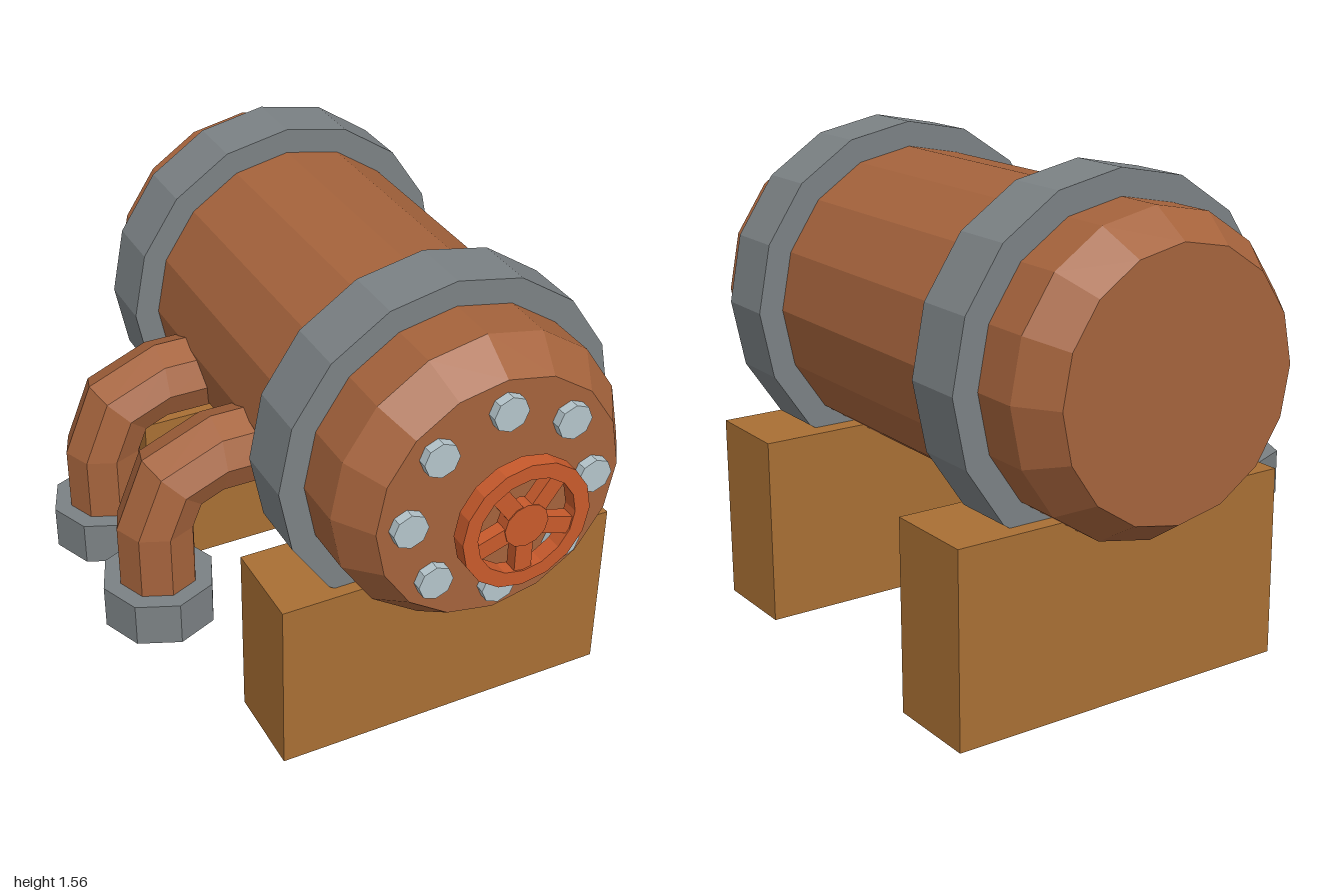
import * as THREE from 'three';

const CX = 0.19, CY = 1.005; // axis of the tank

function material(name, color) {
  const m = new THREE.MeshStandardMaterial({ color, flatShading: true });
  m.name = name;
  return m;
}

// Solid of revolution about the z axis from [radius, z] points
function turned(points, sides) {
  const g = new THREE.LatheGeometry(points.map(([r, z]) => new THREE.Vector2(r, z)), sides);
  return g.rotateX(Math.PI / 2);
}

// Closed profile of a ring
const ringProfile = (inner, outer, z0, z1) =>
  [[inner, z0], [outer, z0], [outer, z1], [inner, z1], [inner, z0]];

// Octagonal elbow swept through stations [x, y, normalAngle], capped at its start
function elbowGeometry(radius, stations, sides = 8) {
  const pos = [], index = [];
  for (const [x, y, a] of stations) {
    for (let j = 0; j < sides; j++) {
      const t = j / sides * Math.PI * 2, c = radius * Math.cos(t);
      pos.push(x + c * Math.cos(a), y + c * Math.sin(a), radius * Math.sin(t));
    }
  }
  for (let i = 0; i < stations.length - 1; i++) {
    for (let j = 0; j < sides; j++) {
      const k = (j + 1) % sides;
      const a = i * sides + j, b = i * sides + k;
      index.push(a, b, a + sides, b, b + sides, a + sides);
    }
  }
  for (let j = 1; j < sides - 1; j++) index.push(0, j + 1, j);
  const g = new THREE.BufferGeometry();
  g.setAttribute('position', new THREE.Float32BufferAttribute(pos, 3));
  g.setIndex(index);
  g.computeVertexNormals();
  return g;
}

export function createModel() {
  const model = new THREE.Group();
  model.name = 'pressureTank';
  const copper = material('copper', 0xa5633c);
  const steel = material('steel', 0x7b8184);
  const wood = material('wood', 0xa86f34);
  const boltMetal = material('boltMetal', 0xb4c4ca);
  const valveRed = material('valveOrange', 0xc85a2c);

  const add = (name, geometry, mat, x, y, z, parent = model) => {
    const mesh = new THREE.Mesh(geometry, mat);
    mesh.name = name;
    mesh.position.set(x, y, z);
    parent.add(mesh);
    return mesh;
  };

  // Tank with bevelled ends
  add('tank', turned([[0, -1], [0.395, -1], [0.475, -0.88], [0.475, 0.735], [0.395, 0.855], [0, 0.855]], 16),
    copper, CX, CY, 0);

  // Straps and support blocks
  const strap = turned(ringProfile(0.465, 0.555, -0.1, 0.1), 16);
  const block = new THREE.BoxGeometry(1.14, 0.6, 0.3);
  for (const [name, strapZ, blockZ] of [['front', 0.47, 0.46], ['rear', -0.63, -0.63]]) {
    add(name + 'Strap', strap, steel, CX, CY, strapZ);
    add(name + 'Support', block, wood, 0.195, 0.3, blockZ);
  }

  // Bolts around the front cap
  const bolt = new THREE.CylinderGeometry(0.056, 0.056, 0.04, 8).rotateX(Math.PI / 2);
  for (let i = 0; i < 8; i++) {
    const a = i * Math.PI / 4;
    add('bolt', bolt, boltMetal, CX + 0.3 * Math.cos(a), CY + 0.3 * Math.sin(a), 0.865);
  }

  // Hand wheel: rim, hub and five spokes
  const wheel = new THREE.Group();
  wheel.name = 'handWheel';
  wheel.position.set(CX, CY, 0.975);
  model.add(wheel);
  add('wheelRim', turned(ringProfile(0.157, 0.205, -0.025, 0.025), 16), valveRed, 0, 0, 0, wheel);
  add('wheelHub', new THREE.CylinderGeometry(0.07, 0.07, 0.046, 12).rotateX(Math.PI / 2), valveRed, 0, 0, 0, wheel);
  const spoke = new THREE.BoxGeometry(0.13, 0.055, 0.04).translate(0.105, 0, 0);
  for (let i = 0; i < 5; i++) {
    add('wheelSpoke', spoke, valveRed, 0, 0, 0, wheel).rotation.z = -Math.PI / 2 + i * Math.PI * 0.4;
  }

  // Outlet pipes with hollow flanges
  const bend = 0.195, bx = -0.39, by = 0.705, h = Math.SQRT1_2 * bend;
  const pipe = elbowGeometry(0.125, [
    [bx - bend, 0.41, Math.PI],
    [bx - bend, by, Math.PI],
    [bx - h, by + h, Math.PI * 0.75],
    [bx, by + bend, Math.PI / 2],
    [-0.2, by + bend, Math.PI / 2],
  ]);
  const flange = turned(ringProfile(0.115, 0.181, -0.0725, 0.0725), 8).rotateX(-Math.PI / 2);
  for (const z of [-0.305, 0.145]) {
    add('outletPipe', pipe, copper, 0, 0, z);
    add('outletFlange', flange, steel, bx - bend, 0.4225, z);
  }

  return model;
}
